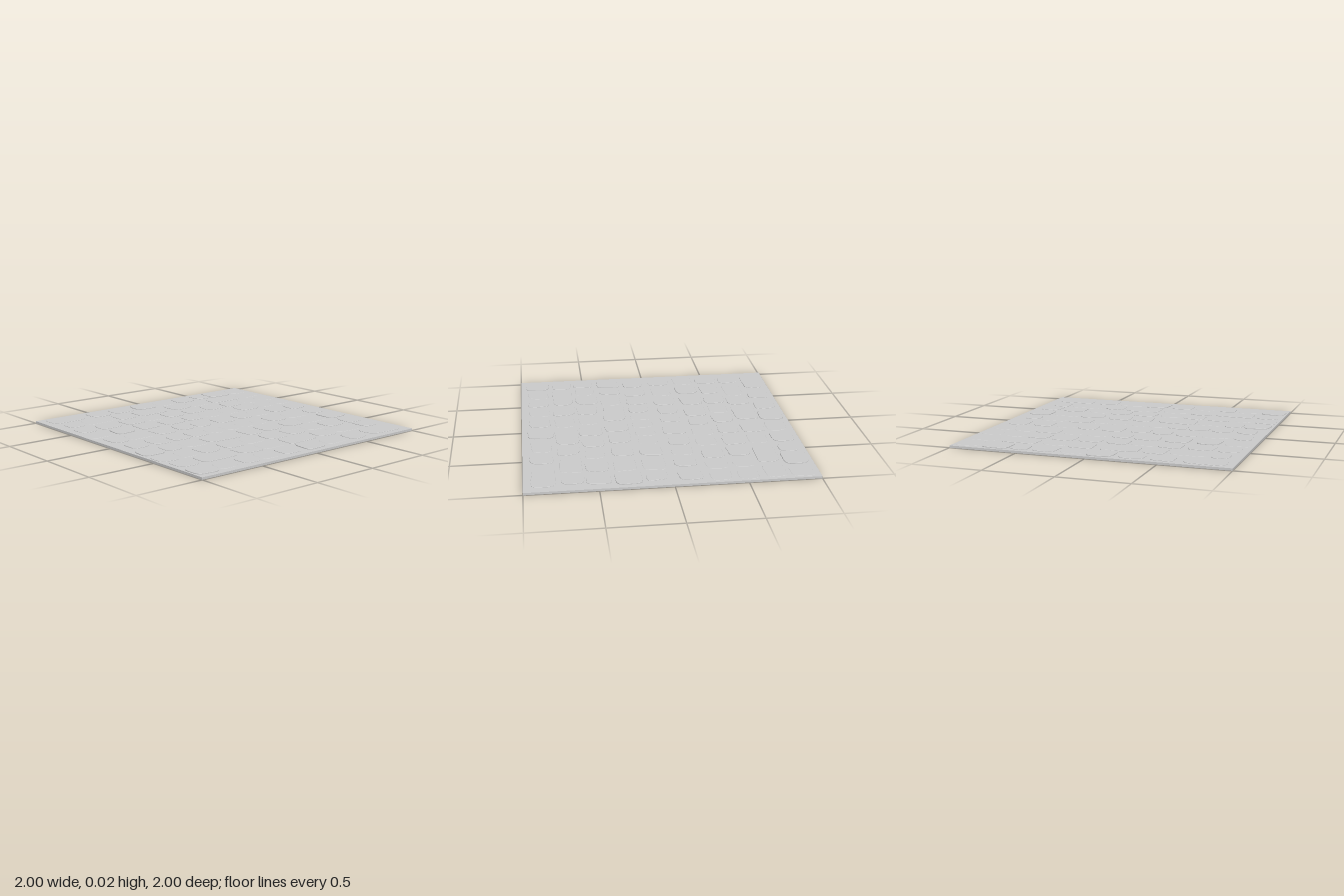
import * as THREE from 'three';

const SLAB = 0.016;

// Rows of cobbles: centre z, x extents [from, to] of each raised stone, indices of the tallest ones
const rows = [
  { z: -0.885, tall: [3, 6], xs: [[-0.95, -0.64], [-0.61, -0.42], [-0.40, -0.20], [-0.18, 0.02], [0.23, 0.43], [0.43, 0.59], [0.58, 0.79]] },
  { z: -0.70, tall: [], xs: [[-0.93, -0.77], [-0.49, -0.30], [-0.30, 0.0], [0.03, 0.23], [0.45, 0.75]] },
  { z: -0.515, tall: [], xs: [[-0.95, -0.78], [-0.77, -0.57], [-0.55, -0.36], [-0.16, 0.03], [0.04, 0.22], [0.24, 0.43], [0.44, 0.62]] },
  { z: -0.325, tall: [0], xs: [[-0.77, -0.58], [-0.54, -0.35], [-0.32, -0.12], [-0.10, 0.06], [0.43, 0.63]] },
  { z: -0.12, tall: [], xs: [[-0.95, -0.79], [-0.55, -0.37], [-0.35, -0.19], [-0.19, -0.02], [0.02, 0.20], [0.23, 0.39], [0.58, 0.74], [0.78, 0.95]] },
  { z: 0.10, tall: [], xs: [[-0.93, -0.77], [-0.75, -0.59], [-0.57, -0.41], [-0.40, -0.24], [0.36, 0.54], [0.78, 0.93]] },
  { z: 0.30, tall: [0, 6], xs: [[-0.99, -0.79], [-0.79, -0.63], [-0.41, -0.10], [-0.07, 0.09], [0.11, 0.31], [0.33, 0.53], [0.77, 0.97]] },
  { z: 0.495, tall: [], xs: [[-0.99, -0.82], [-0.63, -0.45], [-0.44, -0.25], [-0.04, 0.15], [0.17, 0.35], [0.56, 0.76], [0.78, 0.94]] },
  { z: 0.675, tall: [], xs: [[-0.97, -0.79], [-0.77, -0.46], [-0.45, -0.25], [-0.01, 0.29], [0.29, 0.47], [0.76, 0.92]] },
  { z: 0.865, tall: [0, 3], xs: [[-0.99, -0.80], [-0.60, -0.44], [-0.24, -0.05], [-0.03, 0.17], [0.41, 0.60], [0.63, 0.94]] },
];

// Small seeded generator for the irregular corners
function seeded(seed) {
  return () => {
    seed = (seed * 16807) % 2147483647;
    return seed / 2147483647;
  };
}

// Irregular four-sided outline with rounded corners
function stoneShape(w, d, rand) {
  const corners = [[-1, -1], [1, -1], [1, 1], [-1, 1]].map(([sx, sy]) => new THREE.Vector2(
    sx * (w / 2 - rand() * 0.022), sy * (d / 2 - rand() * 0.022)));
  const shape = new THREE.Shape();
  corners.forEach((c, i) => {
    const r = 0.035 + rand() * 0.03;
    const toward = (p) => p.clone().sub(c).setLength(r).add(c);
    const a = toward(corners[(i + 3) % 4]);
    const b = toward(corners[(i + 1) % 4]);
    if (i === 0) shape.moveTo(a.x, a.y);
    else shape.lineTo(a.x, a.y);
    shape.quadraticCurveTo(c.x, c.y, b.x, b.y);
  });
  shape.closePath();
  return shape;
}

export function createModel() {
  const group = new THREE.Group();
  group.name = 'cobblePavement';
  const material = new THREE.MeshStandardMaterial({ color: 0xcccccc });
  const rand = seeded(4711);

  // Base slab
  const slab = new THREE.Mesh(new THREE.BoxGeometry(2, SLAB, 2), material);
  slab.name = 'slab';
  slab.position.y = SLAB / 2;
  group.add(slab);

  // One flat stone with a fine bevel, sunk slightly into the slab
  const addStone = (x0, x1, z, depth, rise, name) => {
    const bevel = 0.0015;
    const geometry = new THREE.ExtrudeGeometry(stoneShape(x1 - x0, depth, rand), {
      depth: rise, bevelThickness: bevel, bevelSize: bevel, bevelOffset: -bevel,
      bevelSegments: 1, curveSegments: 4,
    });
    geometry.rotateX(-Math.PI / 2);
    const stone = new THREE.Mesh(geometry, material);
    stone.name = name;
    stone.position.set((x0 + x1) / 2, SLAB - bevel, z);
    group.add(stone);
  };

  for (const { z, xs, tall } of rows) {
    let edge = -0.99;
    [...xs, [0.99, 0.99]].forEach(([x0, x1], i) => {
      // Nearly flush stones fill the wide gaps of the row
      const count = Math.floor((x0 - edge) / 0.15);
      const step = (x0 - edge) / count;
      for (let k = 0; k < count; k++) {
        addStone(edge + k * step + 0.01, edge + (k + 1) * step - 0.01, z, 0.17, 0.0015, 'lowStone');
      }
      edge = x1;
      if (i === xs.length) return;
      // Raised stones
      if (tall.includes(i)) addStone(x0, x1, z, 0.2, 0.006, 'tallStone');
      else addStone(x0, x1, z, 0.18, 0.0035 + rand() * 0.001, 'raisedStone');
    });
  }
  return group;
}
